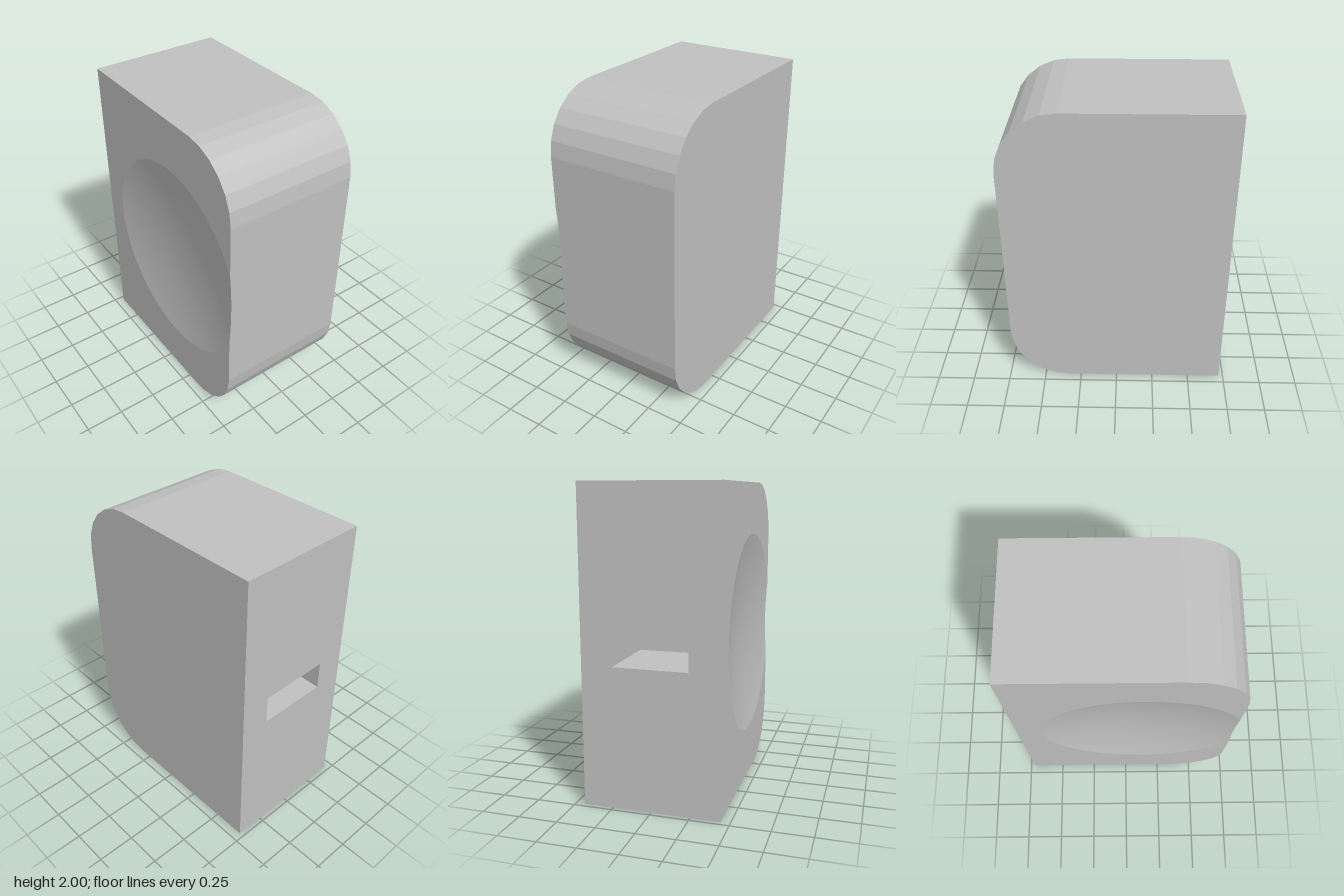
import * as THREE from 'three';

const W = 0.72, H = 2, D = 0.44;               // half width, height, half depth
const CORNER = 0.39;                           // rounded corner radius
const DISH = { x: 0.11, y: 1, r: 0.665, depth: 0.07 };
const SLOT = { y: 1, h: 0.19, w: 0.48, depth: 0.5 };

export function createModel() {
  const group = new THREE.Group();
  const grey = new THREE.MeshStandardMaterial({ color: 0xc0c0c0 });
  const add = (name, geometry) => {
    const mesh = new THREE.Mesh(geometry, grey);
    mesh.name = name;
    group.add(mesh);
  };
  const v2 = (x, y) => new THREE.Vector2(x, y);

  // Half outlines, running counterclockwise around the body
  const topEdge = [];
  for (let i = 0; i <= 6; i++) {
    const a = (i / 6) * Math.PI / 2;
    topEdge.push(v2(W - CORNER + CORNER * Math.cos(a), H - CORNER + CORNER * Math.sin(a)));
  }
  topEdge.push(v2(-W, H));
  const bottomEdge = topEdge.map(p => v2(p.x, H - p.y)).reverse();

  // Dish rim: a circle cut off by the right wall
  const reach = W - DISH.x;
  const cut = Math.acos(reach / DISH.r);
  const sphereR = (DISH.r ** 2 + DISH.depth ** 2) / (2 * DISH.depth);
  const dishZ = r => D - DISH.depth + sphereR - Math.sqrt(sphereR ** 2 - r * r);
  const rimPoint = a => {
    const r = Math.abs(a) < cut ? reach / Math.cos(a) : DISH.r;
    return { a, r, x: DISH.x + r * Math.cos(a), y: DISH.y + r * Math.sin(a) };
  };
  const wallRim = [], arcRim = [];
  for (let i = 0; i <= 12; i++) wallRim.push(rimPoint(-cut + 2 * cut * i / 12));
  for (let i = 0; i <= 64; i++) {
    const p = rimPoint(cut + (2 * Math.PI - 2 * cut) * i / 64);
    p.r = DISH.r;
    p.x = DISH.x + p.r * Math.cos(p.a);
    p.y = DISH.y + p.r * Math.sin(p.a);
    arcRim.push(p);
  }

  // Front and back faces
  const around = arcRim.slice().reverse().map(p => v2(p.x, p.y));
  add('frontFace', new THREE.ShapeGeometry(
    new THREE.Shape([...bottomEdge, ...around, ...topEdge])).translate(0, 0, D));
  const backShape = new THREE.Shape([...bottomEdge, ...topEdge].map(p => v2(-p.x, p.y)).reverse());
  add('backFace', new THREE.ShapeGeometry(backShape).rotateY(Math.PI).translate(0, 0, -D));

  // Top and bottom walls with their faceted rounded corners
  const strip = points => {
    const pos = [];
    for (let i = 0; i < points.length - 1; i++) {
      const p = points[i], q = points[i + 1];
      pos.push(p.x, p.y, D, p.x, p.y, -D, q.x, q.y, -D);
      pos.push(p.x, p.y, D, q.x, q.y, -D, q.x, q.y, D);
    }
    const g = new THREE.BufferGeometry();
    g.setAttribute('position', new THREE.Float32BufferAttribute(pos, 3));
    g.computeVertexNormals();
    return g;
  };
  add('topWall', strip(topEdge));
  add('bottomWall', strip(bottomEdge));

  // Right wall, with the shallow bite the dish takes from its front edge
  const bite = wallRim.map(p => v2(-dishZ(p.r), p.y)).reverse();
  const rightShape = new THREE.Shape([
    v2(-D, CORNER), v2(D, CORNER), v2(D, H - CORNER), v2(-D, H - CORNER), ...bite]);
  add('rightWall', new THREE.ShapeGeometry(rightShape).rotateY(Math.PI / 2).translate(W, 0, 0));

  // Left wall, with the slot opening
  const rect = (w, y0, y1) => [v2(-w, y0), v2(w, y0), v2(w, y1), v2(-w, y1)];
  const leftShape = new THREE.Shape(rect(D, 0, H));
  leftShape.holes.push(new THREE.Path(
    rect(SLOT.w / 2, SLOT.y - SLOT.h / 2, SLOT.y + SLOT.h / 2).reverse()));
  add('leftWall', new THREE.ShapeGeometry(leftShape).rotateY(-Math.PI / 2).translate(-W, 0, 0));

  // Slot interior: an inside-out box without its outer face
  const slot = new THREE.BoxGeometry(SLOT.depth, SLOT.h, SLOT.w);
  slot.setIndex(Array.from(slot.index.array).slice(6));
  slot.clearGroups();
  slot.scale(-1, -1, -1).translate(-W + SLOT.depth / 2, SLOT.y, 0);
  slot.computeVertexNormals();
  add('slotInterior', slot);

  // Spherical dish, as rings from the centre out to the rim
  const rim = [...wallRim, ...arcRim.slice(1)];
  const RINGS = 14, pos = [], index = [];
  for (let j = 0; j <= RINGS; j++) {
    for (const p of rim) {
      const r = p.r * j / RINGS;
      pos.push(DISH.x + r * Math.cos(p.a), DISH.y + r * Math.sin(p.a), dishZ(r));
    }
  }
  const n = rim.length;
  for (let j = 0; j < RINGS; j++) {
    for (let i = 0; i < n - 1; i++) {
      const a = j * n + i, b = a + n;
      index.push(a, b, b + 1);
      if (j > 0) index.push(a, b + 1, a + 1);
    }
  }
  const dish = new THREE.BufferGeometry();
  dish.setAttribute('position', new THREE.Float32BufferAttribute(pos, 3));
  dish.setIndex(index);
  dish.computeVertexNormals();
  add('dish', dish);

  return group;
}
